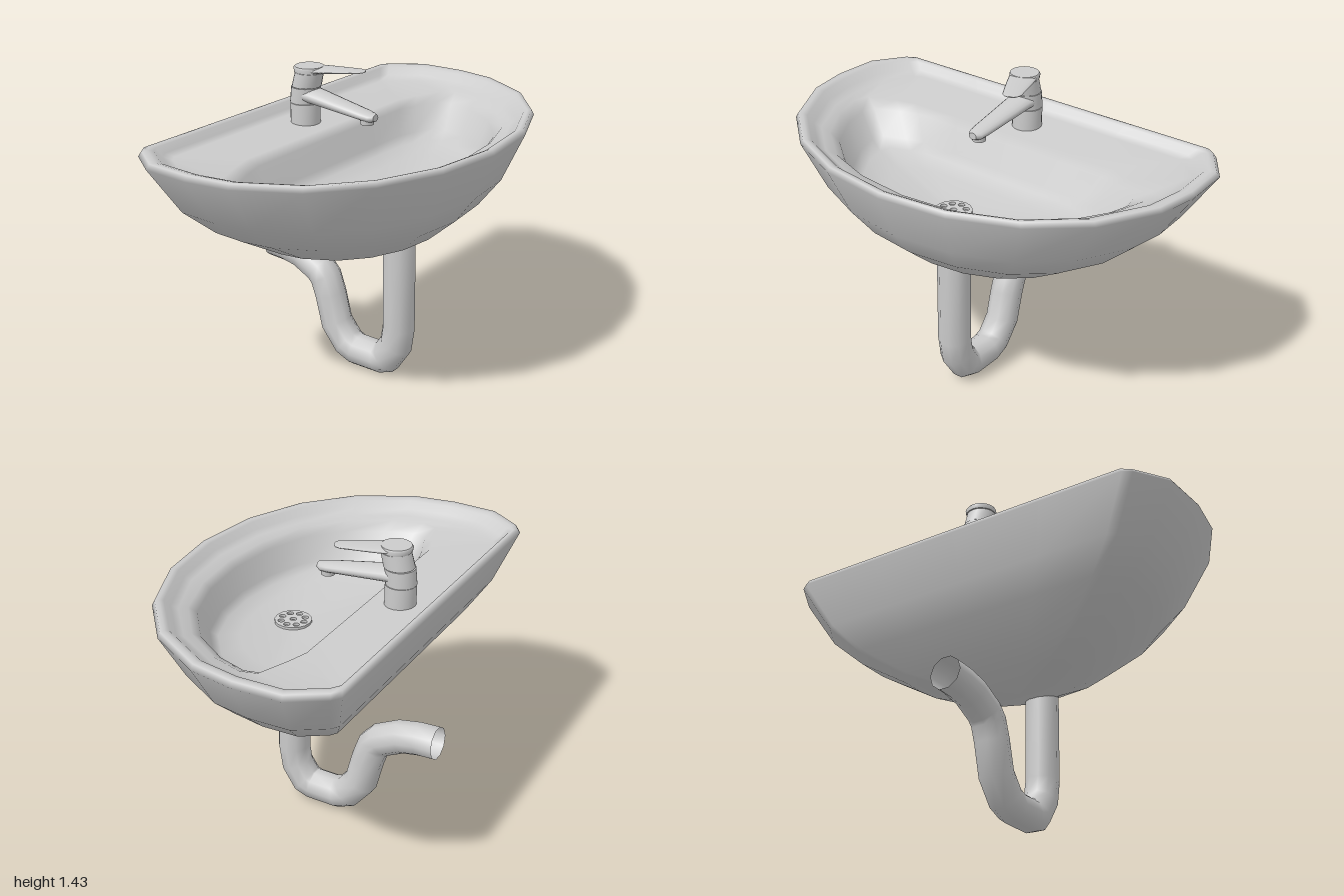
import * as THREE from 'three';

const material = new THREE.MeshStandardMaterial({ color: 0xcccccc, side: THREE.DoubleSide });

// Skin over a stack of closed rings, each a list of [x, y, z]
function loft(rings) {
  const n = rings[0].length, index = [];
  for (let i = 0; i < rings.length - 1; i++) {
    for (let j = 0; j < n; j++) {
      const a = i * n + j, b = i * n + (j + 1) % n;
      index.push(a, a + n, b, b, a + n, b + n);
    }
  }
  const g = new THREE.BufferGeometry();
  g.setAttribute('position', new THREE.Float32BufferAttribute(rings.flat(2), 3));
  g.setIndex(index);
  g.computeVertexNormals();
  return g;
}

// Closes both ends; the repeated end rings keep the cap edges sharp
function cappedLoft(rings) {
  const centre = (ring) => {
    const c = [0, 1, 2].map((k) => ring.reduce((s, p) => s + p[k], 0) / ring.length);
    return ring.map(() => c);
  };
  const first = rings[0], last = rings[rings.length - 1];
  return loft([centre(first), first, ...rings, last, centre(last)]);
}

const around = (n, f) => Array.from({ length: n }, (_, i) => f((i / n) * Math.PI * 2));

// Horizontal circle, for stacks running downwards
const disc = (x, y, r) => around(20, (t) => [x + r * Math.cos(t), y, -r * Math.sin(t)]);

// Upright ellipse facing along a heading in plan, for arms running forward
const oval = (x, y, z, w, h, yaw = 0) =>
  around(16, (t) => [
    x + w * Math.cos(t) * Math.sin(yaw),
    y + h * Math.sin(t),
    z + w * Math.cos(t) * Math.cos(yaw),
  ]);

// Ten-sided pipe along points in the xy plane, mitred at every bend
function pipe(points, r) {
  const heading = (a, b) => new THREE.Vector2(b[0] - a[0], b[1] - a[1]).normalize();
  return loft(points.map((p, i) => {
    const before = heading(points[Math.max(i - 1, 0)], points[Math.max(i, 1)]);
    const last = points.length - 1;
    const after = heading(points[Math.min(i, last - 1)], points[Math.min(i + 1, last)]);
    const d = before.clone().add(after).normalize();
    const stretch = r / d.dot(before);
    return around(10, (t) => [
      p[0] - d.y * stretch * Math.sin(t),
      p[1] + d.x * stretch * Math.sin(t),
      r * Math.cos(t),
    ]);
  }));
}

// Half of a plan outline, mirrored to a full ring
const mirrorZ = (half) => [...half, ...half.slice(1, -1).reverse().map(([x, z]) => [x, -z])];

const rimPlan = mirrorZ([
  [-0.597, 0], [-0.597, 0.45], [-0.597, 0.85], [-0.57, 0.89], [-0.42, 0.99], [-0.2, 1],
  [0, 0.967], [0.26, 0.825], [0.45, 0.605], [0.572, 0.32], [0.612, 0],
]);
const basinPlan = mirrorZ([
  [-0.26, 0], [-0.26, 0.3], [-0.26, 0.54], [-0.23, 0.64], [-0.18, 0.77], [-0.11, 0.79],
  [0.03, 0.75], [0.21, 0.64], [0.355, 0.46], [0.43, 0.24], [0.455, 0],
]);

// Plan ring scaled about a point on the x axis and set at a height
const scaled = (plan, cx, s, y) => plan.map(([x, z]) => [cx + (x - cx) * s, y, z * s]);

export function createModel() {
  const model = new THREE.Group();
  const add = (name, geometry, parent = model) => {
    const mesh = new THREE.Mesh(geometry, material);
    mesh.name = name;
    parent.add(mesh);
    return mesh;
  };

  // Washbowl: from the drain up the basin, over deck and rim, and down the outside
  const basin = [
    [0, 0.925], [0.2, 0.93], [0.55, 0.95], [0.76, 0.975], [0.84, 1.01], [0.95, 1.12], [1.03, 1.155],
  ];
  const rim = [[0.86, 1.165], [0.9, 1.185], [0.935, 1.215], [0.96, 1.222], [0.985, 1.222], [1, 1.2]];
  const shell = [[0.862, 0.985], [0.72, 0.86], [0.512, 0.74], [0.305, 0.67], [0, 0.627]];
  add('washbowl', loft([
    ...basin.map(([s, y]) => scaled(basinPlan, 0.13, s, y)),
    ...[...rim, ...shell].map(([s, y]) => scaled(rimPlan, -0.055, s, y)),
  ]));

  // Perforated drain strainer
  const strainer = new THREE.Shape().absarc(0, 0, 0.085, 0, Math.PI * 2);
  const hole = (x, y) =>
    strainer.holes.push(new THREE.Path().absarc(x, y, 0.015, 0, Math.PI * 2, true));
  hole(0, 0);
  around(8, (t) => hole(0.056 * Math.cos(t), 0.056 * Math.sin(t)));
  const drain = add('drainStrainer', new THREE.ExtrudeGeometry(strainer, {
    depth: 0.012, bevelEnabled: false, curveSegments: 8,
  }));
  drain.rotation.x = -Math.PI / 2;
  drain.position.set(0.13, 0.93, 0);

  // Trap pipe, open at the wall end
  add('trapPipe', pipe([
    [0.13, 0.75], [0.13, 0.265], [0.115, 0.17], [0.062, 0.09], [0.02, 0.075],
    [-0.11, 0.075], [-0.165, 0.098], [-0.235, 0.185], [-0.27, 0.325], [-0.298, 0.405],
    [-0.33, 0.44], [-0.433, 0.492], [-0.525, 0.51], [-0.615, 0.515],
  ], 0.077));

  // Mixer tap
  const tap = new THREE.Group();
  tap.name = 'tap';
  model.add(tap);
  add('tapBase', cappedLoft([disc(-0.404, 1.255, 0.069), disc(-0.404, 1.14, 0.069)]), tap);
  add('tapCollar', cappedLoft([disc(-0.398, 1.33, 0.068), disc(-0.406, 1.257, 0.068)]), tap);
  add('tapBody', cappedLoft([disc(-0.376, 1.4, 0.066), disc(-0.394, 1.333, 0.068)]), tap);
  add('spout', cappedLoft([
    oval(-0.4, 1.296, 0, 0.064, 0.036),
    oval(-0.34, 1.292, 0, 0.062, 0.036),
    oval(-0.2, 1.272, 0, 0.053, 0.03),
    oval(-0.06, 1.252, 0, 0.044, 0.024),
    oval(-0.025, 1.247, 0, 0.037, 0.021),
    oval(-0.004, 1.248, 0, 0.02, 0.016),
  ]), tap);
  add('aerator', cappedLoft([disc(-0.05, 1.24, 0.032), disc(-0.05, 1.213, 0.03)]), tap);

  // Lever, swung to one side
  const lever = new THREE.Group();
  lever.name = 'lever';
  tap.add(lever);
  add('leverCap', cappedLoft([
    disc(-0.378, 1.428, 0.066), disc(-0.38, 1.42, 0.07), disc(-0.378, 1.402, 0.068),
  ]), lever);
  const yaw = 0.4;
  const grip = [
    [0, 0.066, 0.014, 1.414], [0.08, 0.06, 0.013, 1.414], [0.17, 0.05, 0.009, 1.415],
    [0.235, 0.042, 0.006, 1.415], [0.255, 0.028, 0.004, 1.415], [0.262, 0.012, 0.003, 1.415],
  ];
  add('leverGrip', cappedLoft(grip.map(([d, w, h, y]) =>
    oval(-0.378 + d * Math.cos(yaw), y, -d * Math.sin(yaw), w, h, yaw))), lever);

  return model;
}
